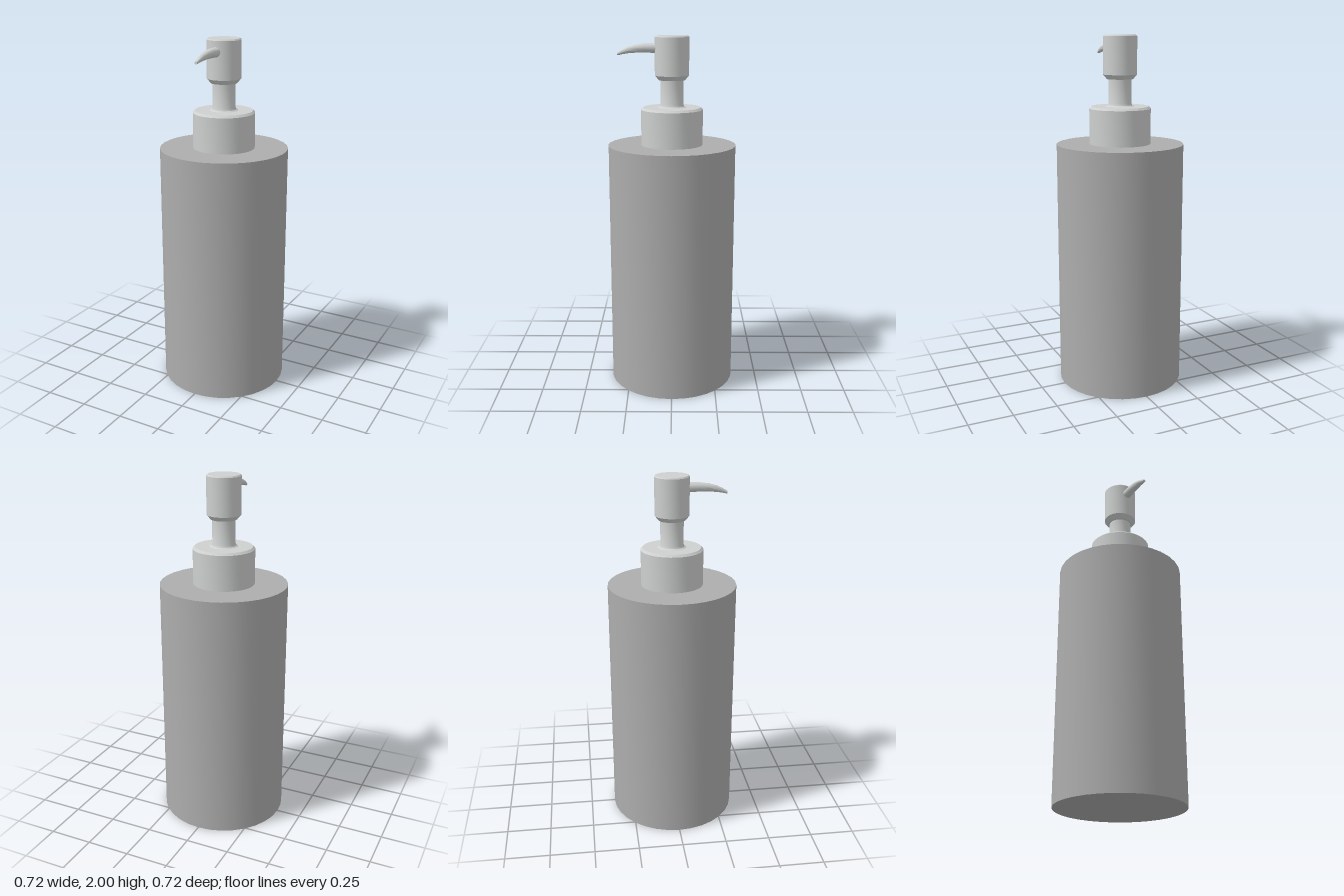
import * as THREE from 'three';
import { toCreasedNormals } from 'three/addons/utils/BufferGeometryUtils.js';

const bodyGrey = new THREE.MeshStandardMaterial({ color: 0xadadad });
bodyGrey.name = 'bodyGrey';
const pumpSilver = new THREE.MeshStandardMaterial({ color: 0xcdd0ce });
pumpSilver.name = 'pumpSilver';

// Turned part from [radius, y] points listed from bottom to top
function turned(name, points, material) {
  const profile = points.map(([r, y]) => new THREE.Vector2(r, y));
  const geometry = toCreasedNormals(new THREE.LatheGeometry(profile, 32), 0.5);
  const mesh = new THREE.Mesh(geometry, material);
  mesh.name = name;
  return mesh;
}

// Tapered spout that droops toward its tip; each section is [z, y, radius]
function spout() {
  const sections = [
    [0.07, 1.934, 0.028], [0.1, 1.934, 0.027], [0.15, 1.934, 0.025], [0.2, 1.93, 0.022],
    [0.24, 1.923, 0.018], [0.27, 1.914, 0.0135], [0.3, 1.902, 0.008],
  ];
  const count = sections.length - 1;
  const geometry = new THREE.CylinderGeometry(1, 1, 1, 16, count).rotateX(Math.PI / 2);
  const p = geometry.attributes.position;
  for (let i = 0; i < p.count; i++) {
    const [z, y, r] = sections[Math.round((p.getZ(i) + 0.5) * count)];
    p.setXYZ(i, p.getX(i) * r, y + p.getY(i) * r, z);
  }
  const mesh = new THREE.Mesh(toCreasedNormals(geometry, 0.7), pumpSilver);
  mesh.name = 'spout';
  return mesh;
}

export function createModel() {
  const group = new THREE.Group();
  group.name = 'soapDispenser';
  group.add(
    turned('bottle', [[0, 0], [0.359, 0], [0.359, 1.4], [0, 1.4]], bodyGrey),
    // Collar with a chamfered top rim
    turned('collar', [[0, 1.4], [0.173, 1.4], [0.173, 1.598], [0.161, 1.61], [0, 1.61]], pumpSilver),
    // Stem with a small flare at its foot
    turned('stem', [[0.079, 1.61], [0.069, 1.616], [0.064, 1.627], [0.064, 1.77]], pumpSilver),
    // Pump head with a tapered underside and chamfered top
    turned('pumpHead', [[0, 1.76], [0.073, 1.76], [0.095, 1.785], [0.095, 1.993], [0.089, 2], [0, 2]], pumpSilver),
    spout(),
  );
  return group;
}
